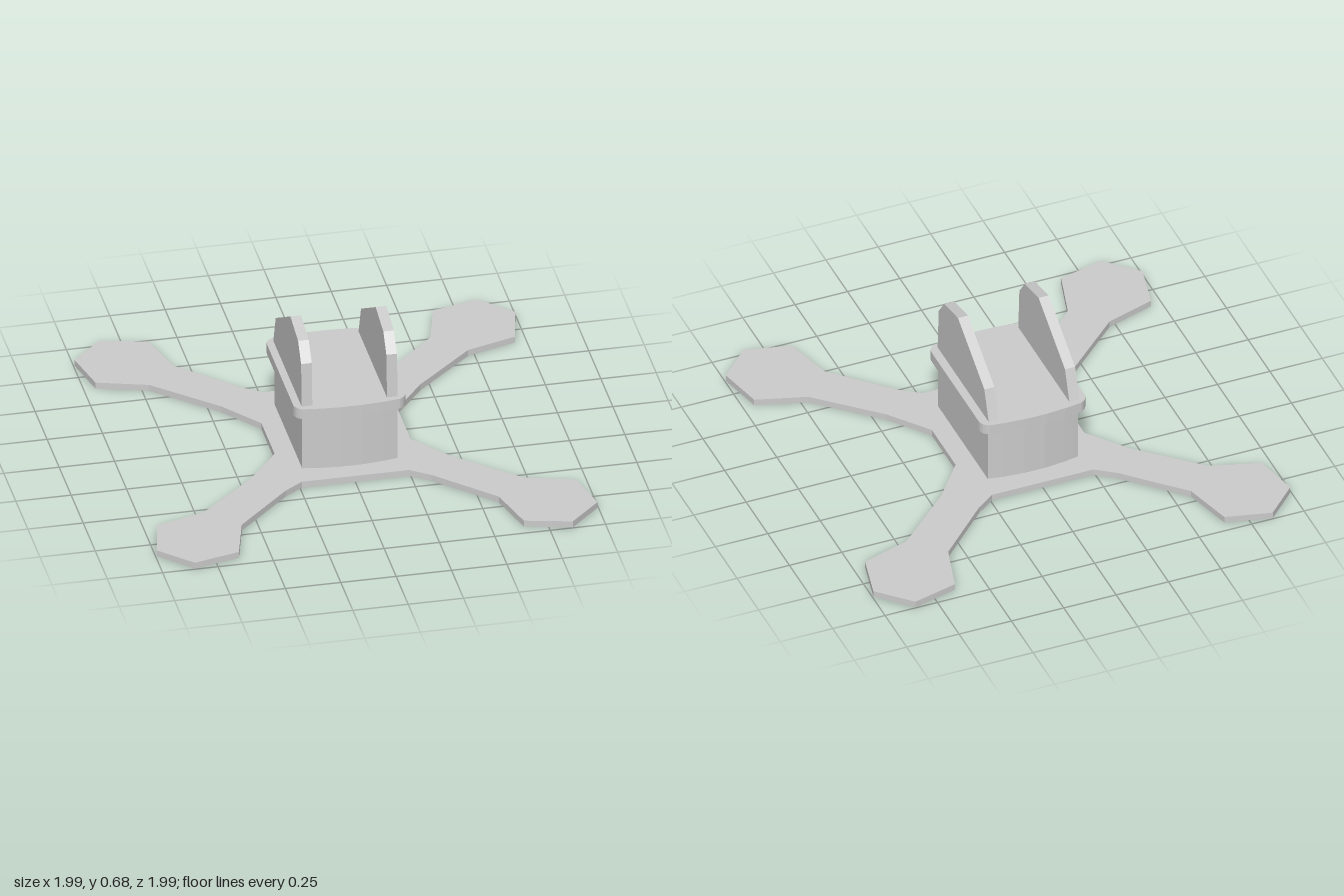
import * as THREE from 'three';

const material = new THREE.MeshStandardMaterial({ color: 0xcccccc, flatShading: true });

function addMesh(group, name, geometry) {
  const mesh = new THREE.Mesh(geometry, material);
  mesh.name = name;
  group.add(mesh);
}

// Horizontal slab from an outline of [x, z] points, between two heights
function slab(points, bottom, top) {
  const shape = new THREE.Shape(points.map(([x, z]) => new THREE.Vector2(x, z)));
  const geometry = new THREE.ExtrudeGeometry(shape, { depth: top - bottom, bevelEnabled: false });
  return geometry.rotateX(Math.PI / 2).translate(0, top, 0);
}

// Repeat a quarter outline (running from the +x side to the +z side) in all four quadrants
function mirrorQuarter(quarter) {
  const flip = (sx, sz) => quarter.map(([x, z]) => [x * sx, z * sz]);
  return [
    ...quarter,
    ...flip(-1, 1).reverse(),
    ...flip(-1, -1),
    ...flip(1, -1).reverse(),
  ];
}

// Quarter outline of a box with a rounded corner and a gently bowed end
function bowedQuarter(halfWidth, edgeZ, midZ, radius) {
  const points = [];
  const steps = radius > 0 ? 5 : 0;
  for (let i = 0; i <= steps; i++) {
    const a = steps ? (i / steps) * Math.PI / 2 : 0;
    points.push(radius > 0
      ? [halfWidth - radius + radius * Math.cos(a), edgeZ - radius + radius * Math.sin(a)]
      : [halfWidth, edgeZ]);
  }
  const start = halfWidth - radius;
  for (const t of [0.68, 0.23]) {
    points.push([start * t, midZ - (midZ - edgeZ) * t * t]);
  }
  return points;
}

export function createModel() {
  const model = new THREE.Group();
  model.name = 'quadFrame';

  // Flat base with four diagonal arms and heptagonal pads
  const arm = [
    [0.307, 0.137], [0.45, 0.32], [0.72, 0.57], [0.947, 0.64], [0.995, 0.853],
    [0.853, 0.995], [0.643, 0.943], [0.58, 0.713], [0.33, 0.465], [0.242, 0.402],
  ];
  addMesh(model, 'armPlate', slab(mirrorQuarter(arm), 0, 0.03));

  // Central housing and the wider lid on top of it
  addMesh(model, 'housing', slab(mirrorQuarter(bowedQuarter(0.215, 0.287, 0.31, 0)), 0.03, 0.3));
  addMesh(model, 'lid', slab(mirrorQuarter(bowedQuarter(0.253, 0.322, 0.338, 0.05)), 0.3, 0.35));

  // Two upright side plates, profile in [z, y]
  const profile = [
    [-0.295, 0.35], [-0.245, 0.495], [0.06, 0.677], [0.22, 0.643], [0.283, 0.56], [0.295, 0.35],
  ];
  const thickness = 0.048;
  for (const [name, x] of [['leftSidePlate', 0.19], ['rightSidePlate', -0.195]]) {
    const shape = new THREE.Shape(profile.map(([z, y]) => new THREE.Vector2(z, y)));
    const geometry = new THREE.ExtrudeGeometry(shape, { depth: thickness, bevelEnabled: false });
    geometry.rotateY(-Math.PI / 2).translate(x + thickness / 2, 0, 0);
    addMesh(model, name, geometry);
  }

  return model;
}
